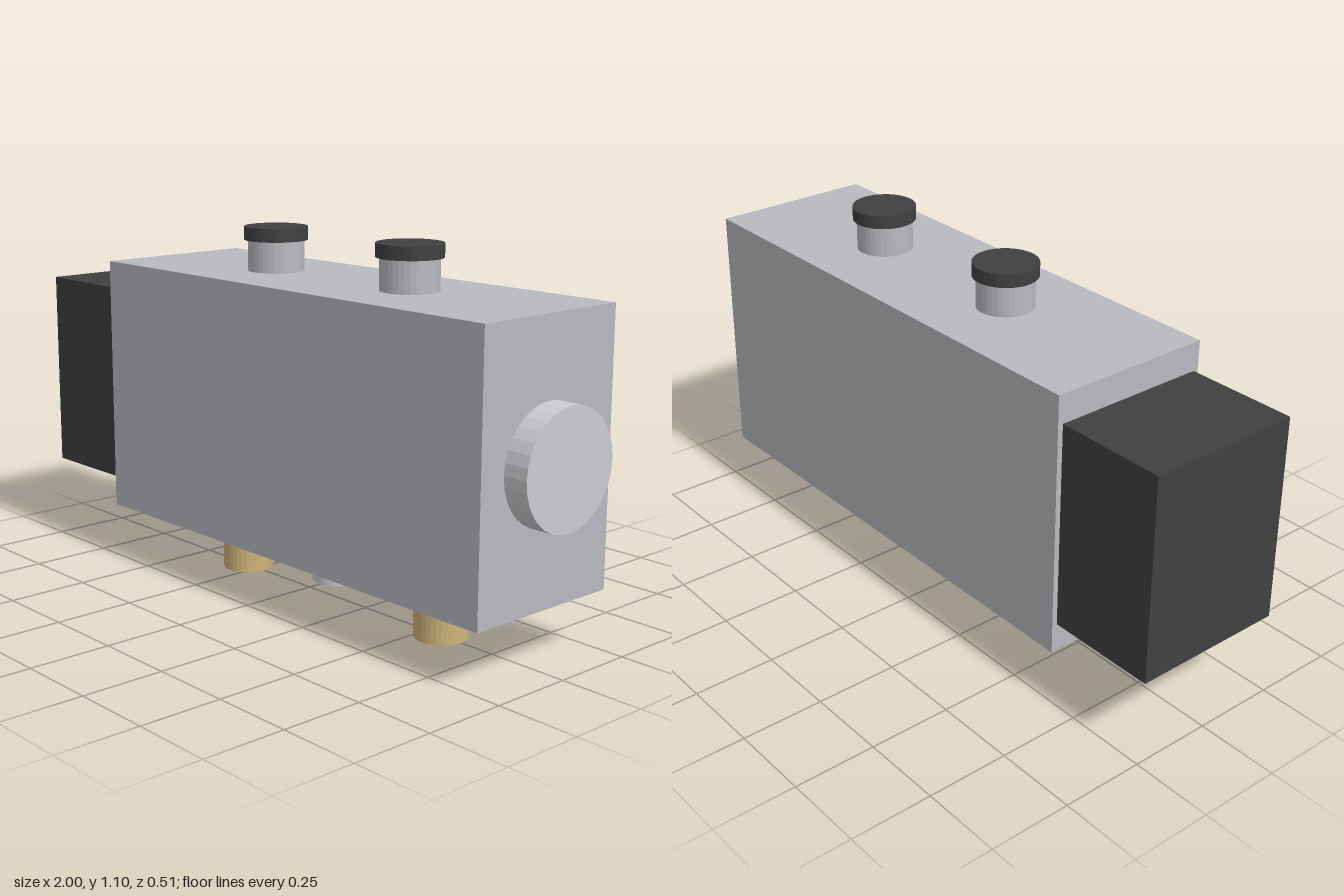
import * as THREE from 'three';

const material = (name, color) => {
  const m = new THREE.MeshStandardMaterial({ color });
  m.name = name;
  m.flatShading = true;
  return m;
};

export function createModel() {
  const group = new THREE.Group();
  const silver = material('silver', 0xb9babf);
  const steel = material('light steel', 0xcccdd1);
  const black = material('black plastic', 0x404040);
  const brass = material('brass', 0xcfb479);

  const add = (name, geometry, mat, x, y, z = 0) => {
    const mesh = new THREE.Mesh(geometry, mat);
    mesh.name = name;
    mesh.position.set(x, y, z);
    group.add(mesh);
    return mesh;
  };
  // Box given by its x and y limits and its depth
  const box = (name, mat, x0, x1, y0, y1, depth) =>
    add(name, new THREE.BoxGeometry(x1 - x0, y1 - y0, depth), mat, (x0 + x1) / 2, (y0 + y1) / 2);
  // Upright cylinder given by its bottom and top
  const post = (name, mat, x, r, y0, y1) =>
    add(name, new THREE.CylinderGeometry(r, r, y1 - y0, 32), mat, x, (y0 + y1) / 2);

  // Valve block and the coil housing at its end
  box('body', silver, -0.66, 0.925, 0.173, 0.967, 0.51);
  box('coilHousing', black, -1, -0.66, 0.26, 0.88, 0.477);

  // Round end cap
  const cap = add('endCap', new THREE.CylinderGeometry(0.17, 0.17, 0.075, 32), steel, 0.9625, 0.57);
  cap.rotation.z = -Math.PI / 2;

  // Capped ports on top
  for (const x of [-0.152, 0.415]) {
    post('topPort', silver, x, 0.085, 0.967, 1.06);
    post('topPortCap', black, x, 0.096, 1.06, 1.1);
  }

  // Stepped brass fittings below, with a plain port between them
  for (const x of [-0.295, 0.558]) {
    post('fittingCollar', brass, x, 0.09, 0.088, 0.173);
    post('fittingNozzle', brass, x, 0.079, 0, 0.088);
  }
  post('bottomPort', steel, 0.132, 0.079, 0.062, 0.173);

  return group;
}
